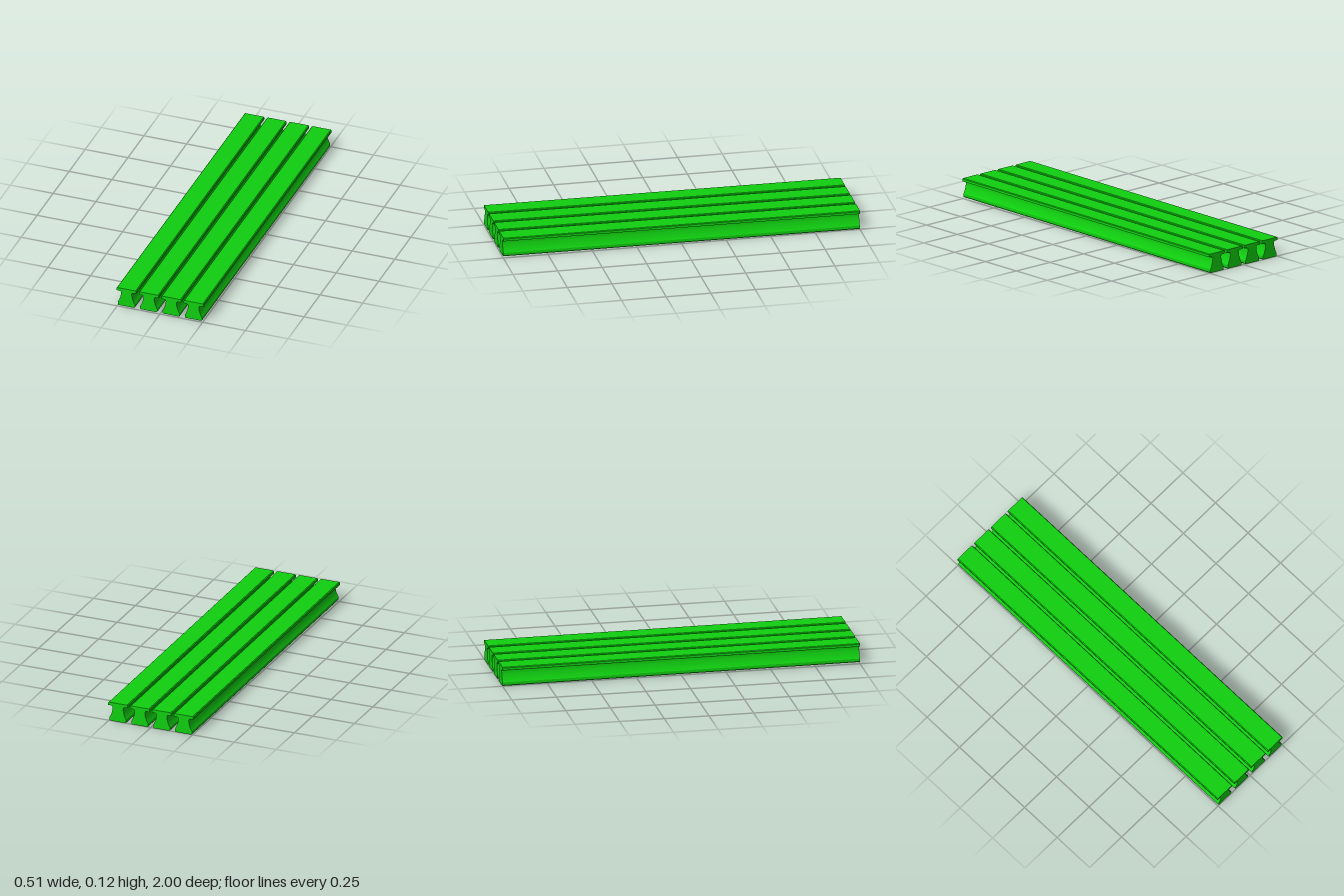
import * as THREE from 'three';
import { toCreasedNormals } from 'three/addons/utils/BufferGeometryUtils.js';

const LENGTH = 2, SPACING = 0.131, COUNT = 4, TILT = 0.004;

// Right half of the rail section, from the foot up to the flat top
function railShape() {
  const half = new THREE.Path();
  half.moveTo(0.047, 0);
  half.lineTo(0.05, 0.004);
  half.lineTo(0.05, 0.02);
  half.bezierCurveTo(0.042, 0.032, 0.0325, 0.055, 0.031, 0.08); // waisted web
  half.bezierCurveTo(0.031, 0.087, 0.035, 0.091, 0.042, 0.0915); // fillet below the flange
  half.lineTo(0.0575, 0.0915);
  half.lineTo(0.0575, 0.105);
  half.lineTo(0.0535, 0.109);
  const right = half.getPoints(10);
  const left = right.map(p => new THREE.Vector2(-p.x, p.y)).reverse();
  return new THREE.Shape([...right, ...left]);
}

export function createModel() {
  const model = new THREE.Group();
  model.name = 'railSet';

  const green = new THREE.MeshStandardMaterial({ color: 0x10d010 });
  green.name = 'green';

  let geometry = new THREE.ExtrudeGeometry(railShape(), { depth: LENGTH, bevelEnabled: false });
  geometry.translate(0, 0, -LENGTH / 2);
  geometry = toCreasedNormals(geometry, 0.5);

  // Four parallel rails, rising slightly towards the front
  for (let i = 0; i < COUNT; i++) {
    const rail = new THREE.Mesh(geometry, green);
    rail.name = `rail${i + 1}`;
    rail.position.set((i - (COUNT - 1) / 2) * SPACING, TILT, 0);
    rail.rotation.x = -TILT;
    model.add(rail);
  }
  return model;
}
